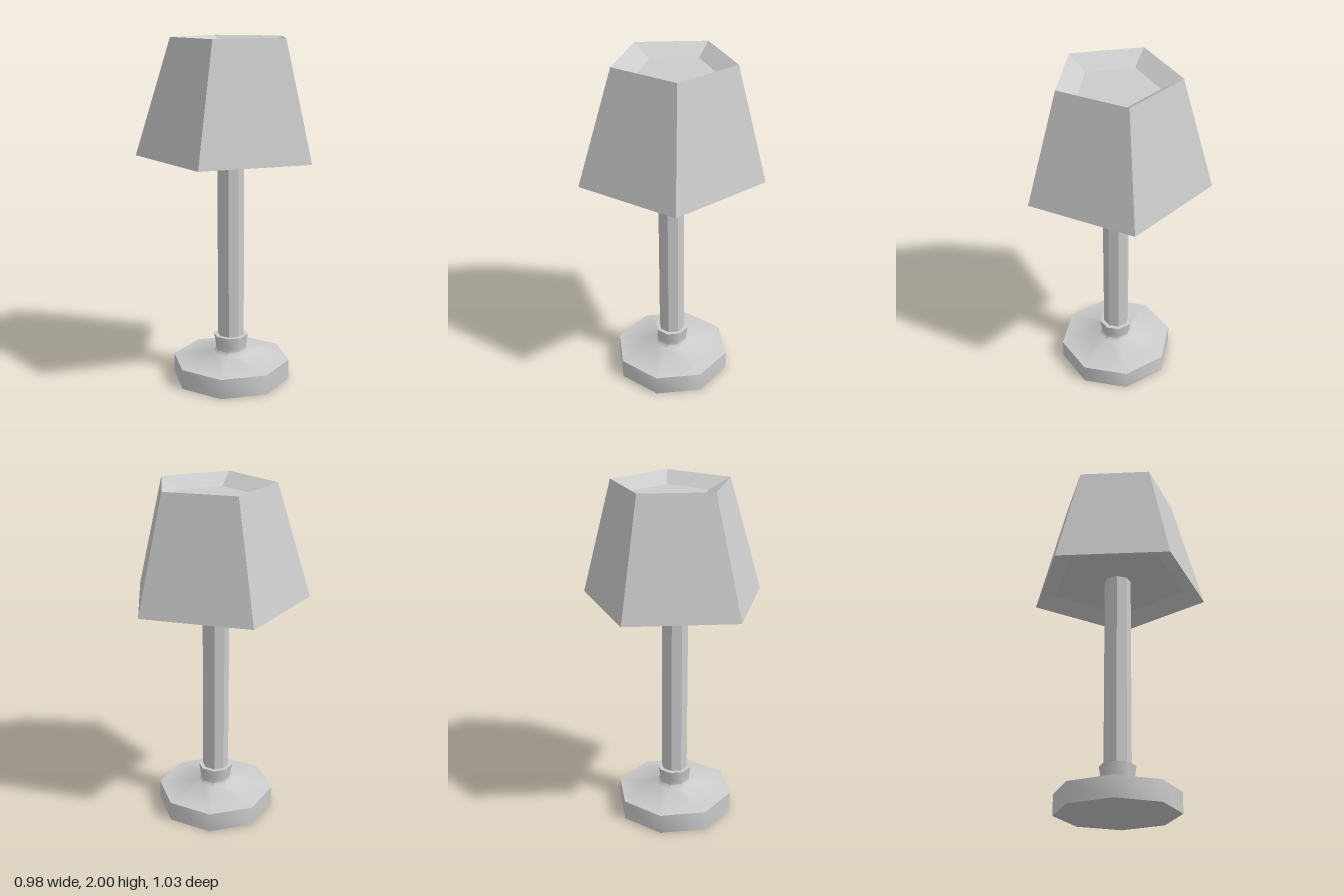
import * as THREE from 'three';
import { toCreasedNormals } from 'three/addons/utils/BufferGeometryUtils.js';

const POLE_X = -0.052;

function lathe(points, sides) {
  return new THREE.LatheGeometry(points.map(([r, y]) => new THREE.Vector2(r, y)), sides);
}

function addPart(group, name, geometry, flatShading = false) {
  const material = new THREE.MeshStandardMaterial({ color: 0xcccccc, flatShading });
  const mesh = new THREE.Mesh(geometry, material);
  mesh.name = name;
  group.add(mesh);
  return mesh;
}

export function createModel() {
  const group = new THREE.Group();
  group.name = 'tableLamp';

  // Octagonal foot sloping up into a flared collar
  const foot = lathe([
    [0, 0], [0.347, 0], [0.347, 0.117], [0.105, 0.155], [0.09, 0.175],
    [0.092, 0.2], [0.102, 0.265], [0.075, 0.265],
  ], 8);
  addPart(group, 'base', toCreasedNormals(foot, 0.9)).position.x = POLE_X;

  // Octagonal pole, ending in the underside of the shade
  const pole = new THREE.CylinderGeometry(0.077, 0.077, 1.26, 8);
  addPart(group, 'pole', pole, true).position.set(POLE_X, 0.78, 0);

  // Five-sided tapered shade with sunken top and bottom panels
  const shade = lathe([
    [0, 1.402], [0.413, 1.402], [0.539, 1.34], [0.349, 2], [0.231, 1.938], [0, 1.938],
  ], 5).rotateY(Math.PI / 2);

  // Shift each ring so that its width stays centred on x = 0
  const pos = shade.attributes.position;
  for (let i = 0; i < pos.count; i++) {
    const radius = Math.hypot(pos.getX(i), pos.getZ(i));
    pos.setX(i, pos.getX(i) - 0.0955 * radius);
  }
  addPart(group, 'shade', toCreasedNormals(shade, 0.1), true);

  return group;
}
